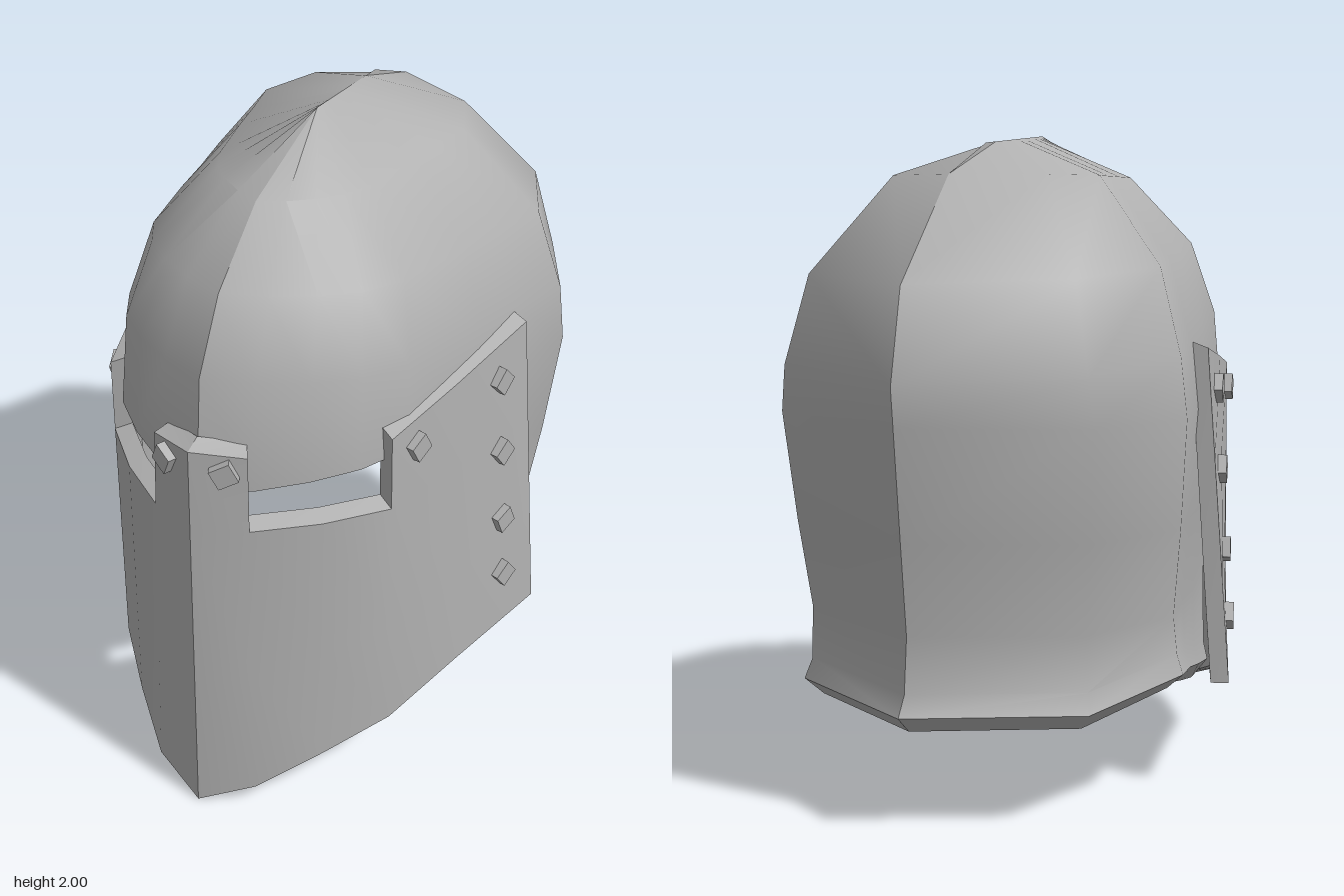
import * as THREE from 'three';
import { toCreasedNormals } from 'three/addons/utils/BufferGeometryUtils.js';

const V = (x, y, z) => new THREE.Vector3(x, y, z);
const lerp = THREE.MathUtils.lerp;

// One half of a thick sheet: outer and inner point grids (rows run down, columns run front to back).
// keep(row, col) says which cells exist; border(row, col) says where a missing cell gets an edge wall.
function thickSheet(outer, inner, keep, border, side) {
  const pos = [];
  const tri = (a, b, c) => {
    const area = b.clone().sub(a).cross(c.clone().sub(a)).length();
    if (area < 1e-7) return;
    for (const p of side > 0 ? [a, b, c] : [a, c, b]) pos.push(p.x * side, p.y, p.z);
  };
  const quad = (a, b, c, d) => { tri(a, b, c); tri(a, c, d); };
  const rows = outer.length - 1, cols = outer[0].length - 1;
  const has = (i, j) => i >= 0 && j >= 0 && i < rows && j < cols && keep(i, j);
  for (let i = 0; i < rows; i++) for (let j = 0; j < cols; j++) {
    if (!has(i, j)) continue;
    const ring = [[i, j], [i + 1, j], [i + 1, j + 1], [i, j + 1]];
    const o = ring.map(([r, c]) => outer[r][c]), n = ring.map(([r, c]) => inner[r][c]);
    quad(...o);
    quad(n[3], n[2], n[1], n[0]);
    [[i, j - 1], [i + 1, j], [i, j + 1], [i - 1, j]].forEach(([r, c], e) => {
      if (has(r, c) || !border(r, c)) return;
      const f = (e + 1) % 4;
      quad(o[f], o[e], n[e], n[f]);
    });
  }
  const g = new THREE.BufferGeometry();
  g.setAttribute('position', new THREE.Float32BufferAttribute(pos, 3));
  return toCreasedNormals(g, 0.85);
}

// Skull plan outline (x, z) at its widest, front to back
const PLAN = [[0, 0.82], [0.15, 0.76], [0.285, 0.675], [0.395, 0.575], [0.475, 0.43], [0.555, 0.1],
  [0.6, -0.12], [0.655, -0.35], [0.505, -0.68], [0, -0.905]];
// Skull levels from the ridge down: front y, back y, half width, front z, back z, z of the widest point
const LEVELS = [
  [2.0, 1.97, 0, 0.07, -0.324, -0.16], [1.87, 1.875, 0.333, 0.447, -0.56, -0.24],
  [1.69, 1.57, 0.558, 0.67, -0.845, -0.32], [1.485, 1.295, 0.635, 0.79, -0.905, -0.35],
  [1.18, 1.18, 0.656, 0.83, -0.893, -0.35], [0.85, 0.85, 0.625, 0.8, -0.859, -0.31],
  [0.58, 0.58, 0.59, 0.775, -0.83, -0.27], [0.43, 0.43, 0.595, 0.77, -0.846, -0.25],
  [0.36, 0.36, 0.615, 0.77, -0.883, -0.25]];
const BROW_ROW = 4, RIM_ROW = 8;
const RIM = [0.27, 0.27, 0.27, 0.27, 0.27, 0.33, 0.37, 0.4, 0.355, 0.355];
const BROW = [1.13, 1.14, 1.16, 1.175];

function skullHalf(side) {
  const outer = LEVELS.map(([yf, yb, w, zf, zb, c], i) => PLAN.map(([x, z], j) => {
    const t = z + 0.35;
    const pz = t >= 0 ? c + t * (zf - c) / 1.17 : c + t * (c - zb) / 0.555;
    let py = lerp(yb, yf, (pz - zb) / (zf - zb));
    if (i === BROW_ROW && j < BROW.length) py = BROW[j];
    if (i === RIM_ROW - 1) py = RIM[j] + 0.06;
    if (i === RIM_ROW) py = RIM[j];
    return V(x * w / 0.655, py, pz);
  }));
  const inner = outer.map(row => row.map(p =>
    V(p.x * 0.91, p.y - 0.064 * Math.abs(p.y - 1.1) / 0.9, -0.1 + (p.z + 0.1) * 0.922)));
  // The face is open below the brow
  return thickSheet(outer, inner, (i, j) => i < BROW_ROW || j >= BROW.length,
    (i, j) => i >= 0 && j >= 0 && j < PLAN.length - 1, side);
}

// Face plate columns: top x, z, bottom x, z, bottom y, top y
const PLATE = [
  [0, 0.87, 0, 0.91, 0, 1.29], [0.15, 0.8, 0.17, 0.845, 0.07, 1.27], [0.32, 0.68, 0.33, 0.69, 0.15, 1.27],
  [0.465, 0.53, 0.475, 0.53, 0.225, 1.265], [0.54, 0.25, 0.578, 0.25, 0.283, 1.31],
  [0.622, -0.09, 0.703, -0.09, 0.345, 1.365]];

function platePoint(k, y) {
  const j = Math.min(Math.floor(k), PLATE.length - 2);
  const [a, b] = [PLATE[j], PLATE[j + 1]].map(([tx, tz, bx, bz, y0, y1]) => {
    const t = (y - y0) / (y1 - y0);
    return V(lerp(bx, tx, t), y, lerp(bz, tz, t));
  });
  return a.lerp(b, k - j);
}

// Outward direction in plan
function plateNormal(k, y) {
  if (k === 0) return V(0, 0, 1);
  const d = platePoint(Math.min(k + 0.3, 5), y).sub(platePoint(k - 0.3, y));
  return V(-d.z, 0, d.x).normalize();
}

function plateHalf(side) {
  const heights = [c => c[5], () => 1.025, c => lerp(c[4], 1.025, 0.45), c => c[4]];
  const outer = heights.map(h => PLATE.map((c, j) => platePoint(j, h(c))));
  // The inner face stands a little higher, so the upper edges slope outward
  const inner = outer.map((row, i) => row.map((p, j) =>
    p.clone().addScaledVector(plateNormal(j, p.y), -0.055).add(V(0, i < 2 ? 0.02 : 0, 0))));
  // The notch in the top edge is the eye slit
  return thickSheet(outer, inner, (i, j) => i > 0 || (j !== 1 && j !== 2), (i, j) => j >= 0, side);
}

// Rivets: column position on the plate, height, turn
const RIVETS = [[0.6, 1.225, 0.45], [3.36, 1.195, 0.5], [4.59, 1.23, 0.75],
  [4.59, 0.98, 0.65], [4.59, 0.73, 0.4], [4.59, 0.52, 0.65]];

export function createModel() {
  const model = new THREE.Group();
  const steel = new THREE.MeshStandardMaterial({ color: 0xb0b0b0 });
  steel.name = 'steel grey';
  const rivetGeo = new THREE.BoxGeometry(0.064, 0.064, 0.052);

  for (const side of [1, -1]) {
    const label = side > 0 ? 'left' : 'right';
    const add = (geo, name) => {
      const mesh = new THREE.Mesh(geo, steel);
      mesh.name = label + name;
      model.add(mesh);
      return mesh;
    };
    add(skullHalf(side), 'Skull');
    add(plateHalf(side), 'FacePlate');
    for (const [k, y, turn] of RIVETS) {
      const n = plateNormal(k, y), p = platePoint(k, y);
      n.x *= side;
      p.x *= side;
      const rivet = add(rivetGeo, 'Rivet');
      rivet.position.copy(p);
      rivet.lookAt(p.clone().add(n));
      rivet.rotateZ(turn * side);
    }
  }
  return model;
}
